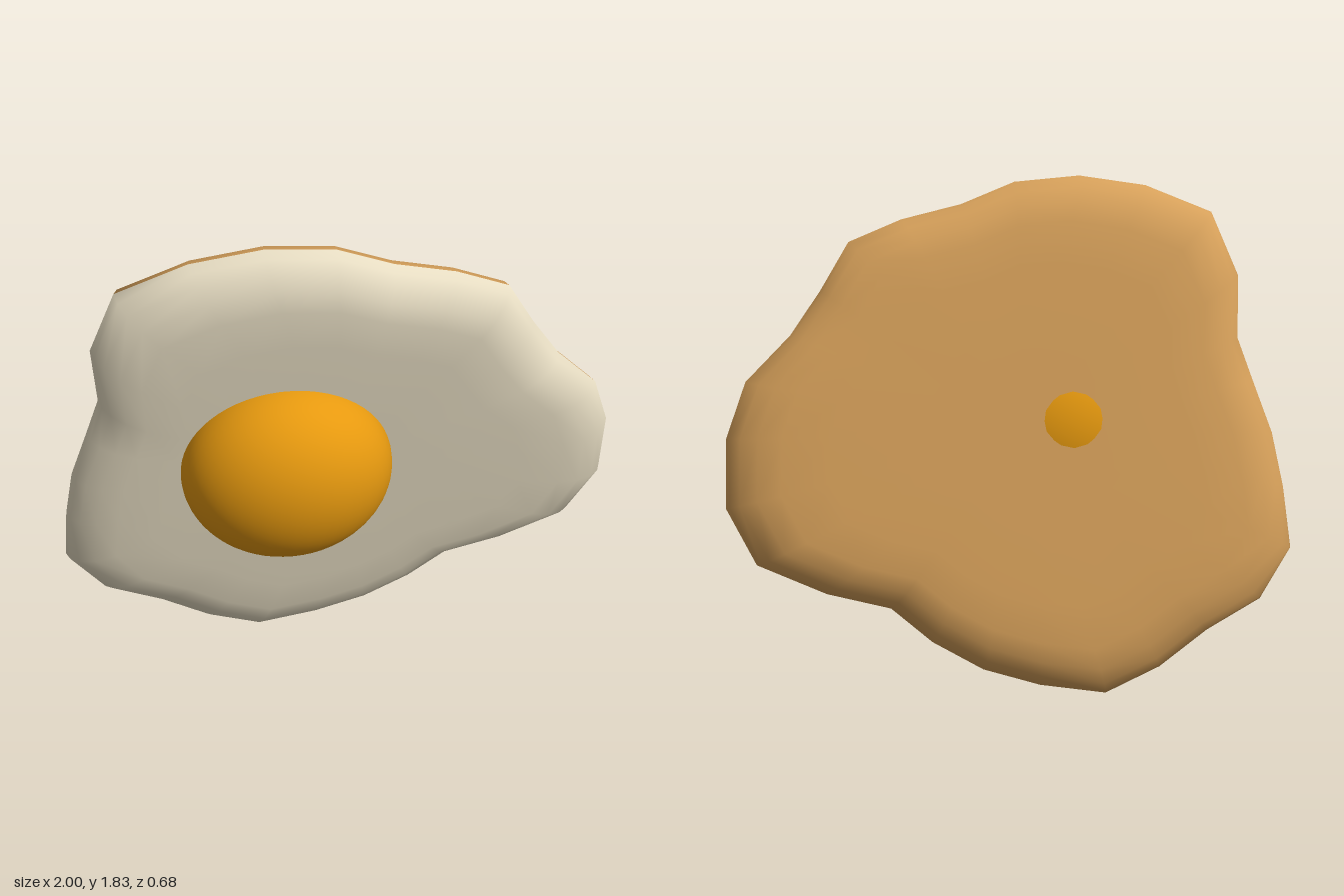
import * as THREE from 'three';

// Irregular outline, counter-clockwise seen from the front
const OUTLINE = [
  [-0.28, 1.83], [-0.05, 1.81], [0.14, 1.735], [0.35, 1.685], [0.535, 1.61], [0.64, 1.445], [0.75, 1.295],
  [0.91, 1.14], [0.985, 0.95], [1, 0.71], [0.905, 0.51], [0.67, 0.4], [0.45, 0.34], [0.31, 0.215],
  [0.135, 0.11], [-0.065, 0.045], [-0.3, 0.005], [-0.5, 0.09], [-0.68, 0.215], [-0.88, 0.32], [-1, 0.5],
  [-0.98, 0.72], [-0.945, 0.915], [-0.88, 1.105], [-0.83, 1.255], [-0.84, 1.475], [-0.75, 1.7], [-0.515, 1.795],
].reverse();

// Edge profile: [outline scale, height off the middle plane]
const PROFILE = [[1, 0], [0.985, 0.035], [0.95, 0.068], [0.89, 0.098], [0.81, 0.115], [0.65, 0.122], [0.3, 0.122]];
const CENTRE = [-0.02, 0.95];

// The egg leans: its middle plane is z = 0.13x + 0.175y - 0.21
const planeZ = (x, y) => 0.13 * x + 0.175 * y - 0.21;
const NORMAL = new THREE.Vector3(-0.13, -0.175, 1).normalize();

// One half of the egg white; side is 1 for the front, -1 for the back
function halfSlab(side) {
  const positions = [];
  const index = [];
  const n = OUTLINE.length;
  const addPoint = (x, y, h) => {
    const p = new THREE.Vector3(x, y, planeZ(x, y)).addScaledVector(NORMAL, h * side);
    positions.push(p.x, p.y, p.z);
  };
  const addFace = (a, b, c) => (side > 0 ? index.push(a, b, c) : index.push(a, c, b));

  for (const [s, h] of PROFILE) {
    for (const [x, y] of OUTLINE) {
      addPoint(CENTRE[0] + (x - CENTRE[0]) * s, CENTRE[1] + (y - CENTRE[1]) * s, h);
    }
  }
  const rings = PROFILE.length;
  addPoint(CENTRE[0], CENTRE[1], PROFILE[rings - 1][1]);

  for (let i = 0; i < n; i++) {
    const j = (i + 1) % n;
    for (let r = 0; r < rings - 1; r++) {
      const a = r * n, b = a + n;
      addFace(a + i, a + j, b + j);
      addFace(a + i, b + j, b + i);
    }
    addFace((rings - 1) * n + i, (rings - 1) * n + j, rings * n);
  }

  const geometry = new THREE.BufferGeometry();
  geometry.setAttribute('position', new THREE.Float32BufferAttribute(positions, 3));
  geometry.setIndex(index);
  geometry.computeVertexNormals();
  return geometry;
}

export function createModel() {
  const cream = new THREE.MeshStandardMaterial({ color: 0xe6dcc2 });
  cream.name = 'cream';
  const brown = new THREE.MeshStandardMaterial({ color: 0xd6a05a });
  brown.name = 'toastedBrown';
  const orange = new THREE.MeshStandardMaterial({ color: 0xe6990f });
  orange.name = 'yolkOrange';

  const group = new THREE.Group();
  group.name = 'friedEgg';
  const add = (name, geometry, material) => {
    const mesh = new THREE.Mesh(geometry, material);
    mesh.name = name;
    group.add(mesh);
    return mesh;
  };

  add('eggWhite', halfSlab(1), cream);
  add('friedUnderside', halfSlab(-1), brown);

  // Flattened yolk, tilted with the white and just showing through the back
  const yolk = add('yolk', new THREE.SphereGeometry(1, 48, 32), orange);
  yolk.scale.set(0.37, 0.355, 0.27);
  yolk.quaternion.setFromUnitVectors(new THREE.Vector3(0, 0, 1), NORMAL);
  yolk.position.set(-0.222, 0.9625, 0.07);

  return group;
}
